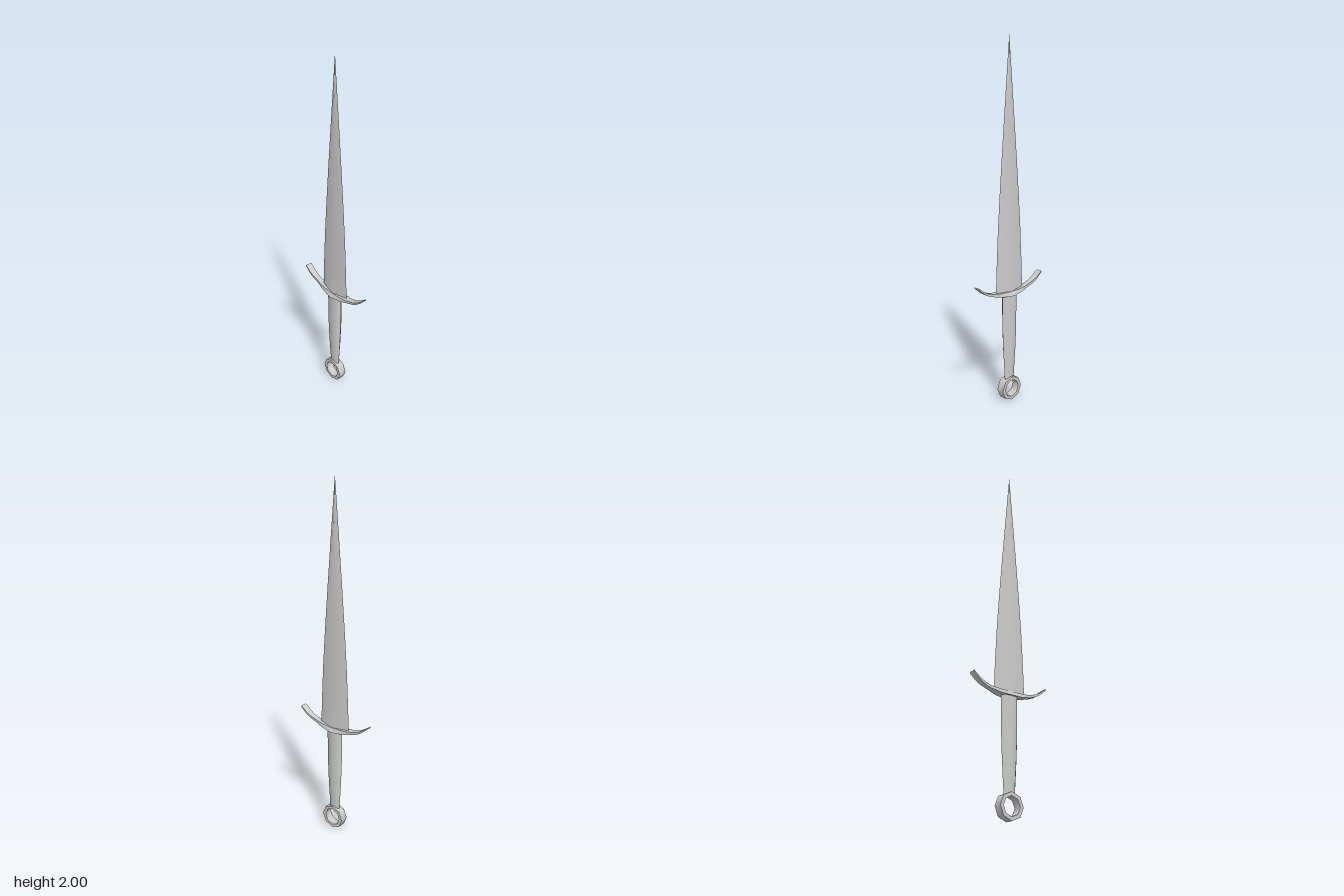
import * as THREE from 'three';
import { toCreasedNormals } from 'three/addons/utils/BufferGeometryUtils.js';

const material = new THREE.MeshStandardMaterial({ color: 0xcccccc });

// Skin a list of equal-length point rings and cap both ends
function loft(rings, crease) {
  const n = rings[0].length, last = (rings.length - 1) * n, index = [];
  for (let i = 0; i < rings.length - 1; i++) {
    for (let j = 0; j < n; j++) {
      const a = i * n + j, b = i * n + (j + 1) % n;
      index.push(a, a + n, b, b, a + n, b + n);
    }
  }
  for (let j = 1; j < n - 1; j++) {
    index.push(0, j, j + 1, last, last + j + 1, last + j);
  }
  const geometry = new THREE.BufferGeometry();
  geometry.setAttribute('position', new THREE.Float32BufferAttribute(rings.flat(2), 3));
  geometry.setIndex(index);
  return toCreasedNormals(geometry, crease);
}

// Elliptical ring with few sides, lying flat at height y
function flatRing(y, halfWidth, halfDepth, sides) {
  return Array.from({ length: sides }, (_, i) => {
    const t = (i / sides) * Math.PI * 2;
    return [halfWidth * Math.cos(t), y, halfDepth * Math.sin(t)];
  });
}

export function createModel() {
  const group = new THREE.Group();
  const add = (name, geometry) => {
    const mesh = new THREE.Mesh(geometry, material);
    mesh.name = name;
    group.add(mesh);
    return mesh;
  };

  // Diamond-section blade: height, half width, half thickness
  add('blade', loft([
    [0.64, 0.098, 0.021],
    [0.8, 0.092, 0.019],
    [1.0, 0.082, 0.017],
    [1.2, 0.068, 0.014],
    [1.45, 0.048, 0.01],
    [1.72, 0.025, 0.006],
    [2.0, 0.0005, 0.0005],
  ].map(([y, w, d]) => flatRing(y, w, d, 4)), 0.6));

  // Upswept crossguard, widest at the middle:
  // x, underside, top, half depth below, half depth above
  const half = [
    [0, 0.625, 0.648, 0.038, 0.024],
    [0.07, 0.63, 0.651, 0.026, 0.022],
    [0.1, 0.637, 0.654, 0.021, 0.02],
    [0.13, 0.644, 0.659, 0.015, 0.015],
    [0.165, 0.657, 0.671, 0.017, 0.017],
    [0.195, 0.675, 0.687, 0.019, 0.019],
    [0.232, 0.707, 0.715, 0.019, 0.019],
  ];
  const mirrored = half.slice(1).reverse().map(([x, ...rest]) => [-x, ...rest]);
  add('crossguard', loft([...mirrored, ...half].map(([x, y0, y1, zb, zt]) => [
    [x, y0, zb], [x, y1, zt], [x, y1, -zt], [x, y0, -zb],
  ]), 0.9));

  // Tapered grip, flattened front to back
  add('grip', loft([
    [0.125, 0.034, 0.013],
    [0.2, 0.039, 0.017],
    [0.3, 0.045, 0.022],
    [0.42, 0.05, 0.025],
    [0.635, 0.052, 0.027],
  ].map(([y, w, d]) => flatRing(y, w, d, 8)), 1.0));

  // Eight-sided ring pommel
  const profile = [[0.05, -0.023], [0.07, -0.023], [0.07, 0.023], [0.05, 0.023], [0.05, -0.023]]
    .map(([r, h]) => new THREE.Vector2(r, h));
  const ring = new THREE.LatheGeometry(profile, 8);
  ring.deleteAttribute('normal');
  ring.deleteAttribute('uv');
  const pommel = add('ringPommel', toCreasedNormals(ring, 0.9));
  pommel.rotation.x = Math.PI / 2;
  pommel.position.y = 0.07;

  return group;
}
